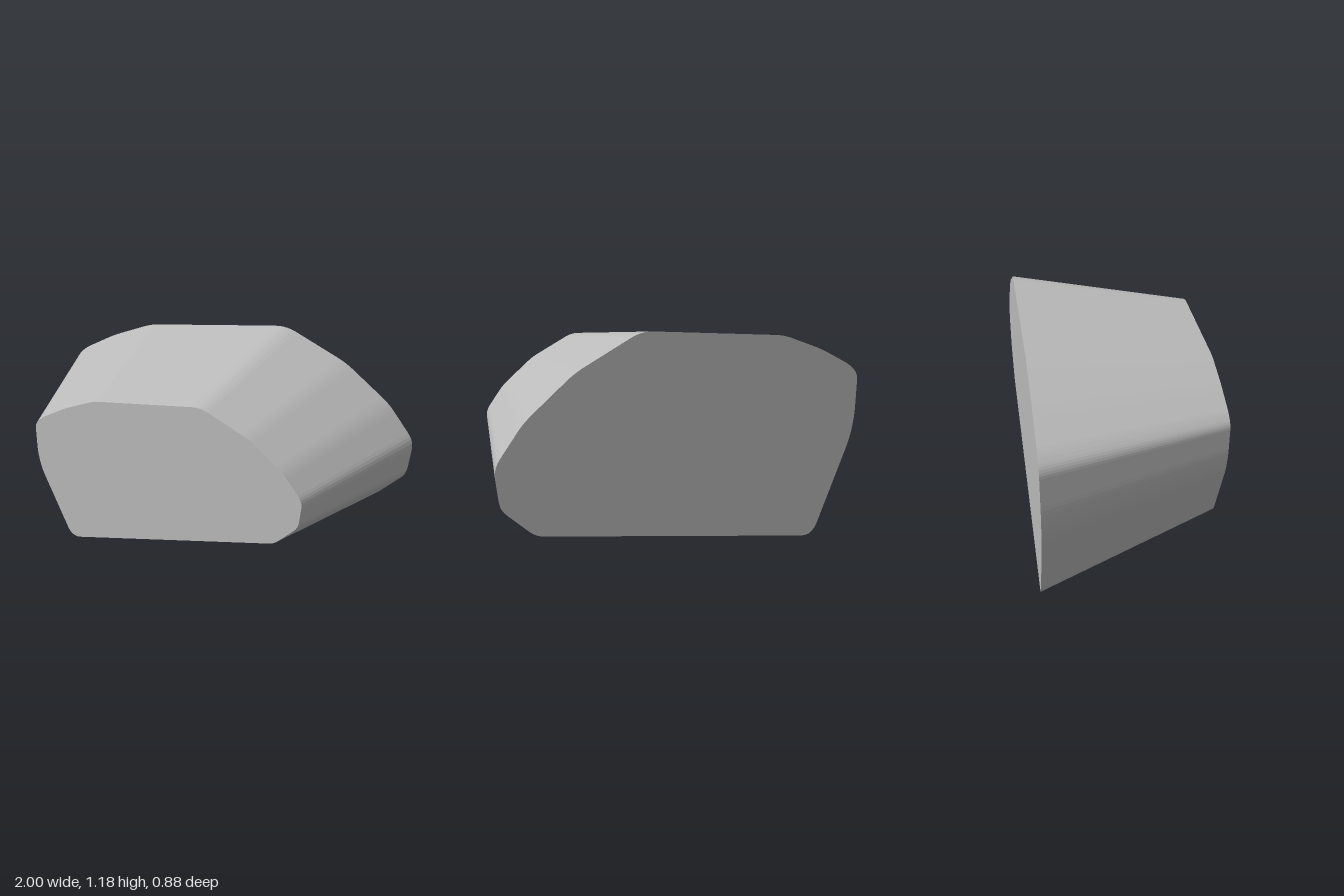
import * as THREE from 'three';

const DEPTH = 0.88;      // back to front
const TAPER = 0.7;       // size of the front outline relative to the back
const SHIFT = [0.015, 0.205];

// Corners of the back outline, anticlockwise from the front: x, y, rounding length
const corners = [
  [-0.752, -0.008, 0.075],
  [0.825, 0.333, 0.04],
  [0.982, 0.487, 0.04],
  [1.002, 0.675, 0.05],
  [0.86, 0.855, 0.05],
  [0.62, 1.04, 0.05],
  [0.29, 1.192, 0.06],
  [-0.505, 1.1, 0.05],
  [-0.745, 1.008, 0.05],
  [-0.945, 0.905, 0.04],
  [-1.002, 0.85, 0.035],
  [-1.0, 0.62, 0.06],
  [-0.975, 0.5, 0.05],
];

function roundedOutline(points) {
  const shape = new THREE.Shape();
  const n = points.length;
  points.forEach(([x, y, r], i) => {
    const p = new THREE.Vector2(x, y);
    const toward = ([qx, qy]) =>
      new THREE.Vector2(qx, qy).sub(p).setLength(r).add(p);
    const a = toward(points[(i + n - 1) % n]);
    const b = toward(points[(i + 1) % n]);
    if (i === 0) shape.moveTo(a.x, a.y);
    else shape.lineTo(a.x, a.y);
    shape.quadraticCurveTo(x, y, b.x, b.y);
  });
  shape.closePath();
  return shape;
}

export function createModel() {
  const stone = new THREE.MeshStandardMaterial({ color: 0xbcbcbc });
  stone.name = 'stone grey';

  // Straight block, then narrowed toward the front
  const geometry = new THREE.ExtrudeGeometry(roundedOutline(corners), {
    depth: DEPTH, bevelEnabled: false, curveSegments: 5,
  });
  const pos = geometry.attributes.position;
  for (let i = 0; i < pos.count; i++) {
    const t = pos.getZ(i) / DEPTH;
    const s = 1 + (TAPER - 1) * t;
    pos.setXYZ(i, pos.getX(i) * s + SHIFT[0] * t,
      pos.getY(i) * s + SHIFT[1] * t, pos.getZ(i) - DEPTH / 2);
  }
  geometry.computeVertexNormals();

  const block = new THREE.Mesh(geometry, stone);
  block.name = 'taperedStone';
  const group = new THREE.Group();
  group.name = 'stoneBlock';
  group.add(block);
  return group;
}
